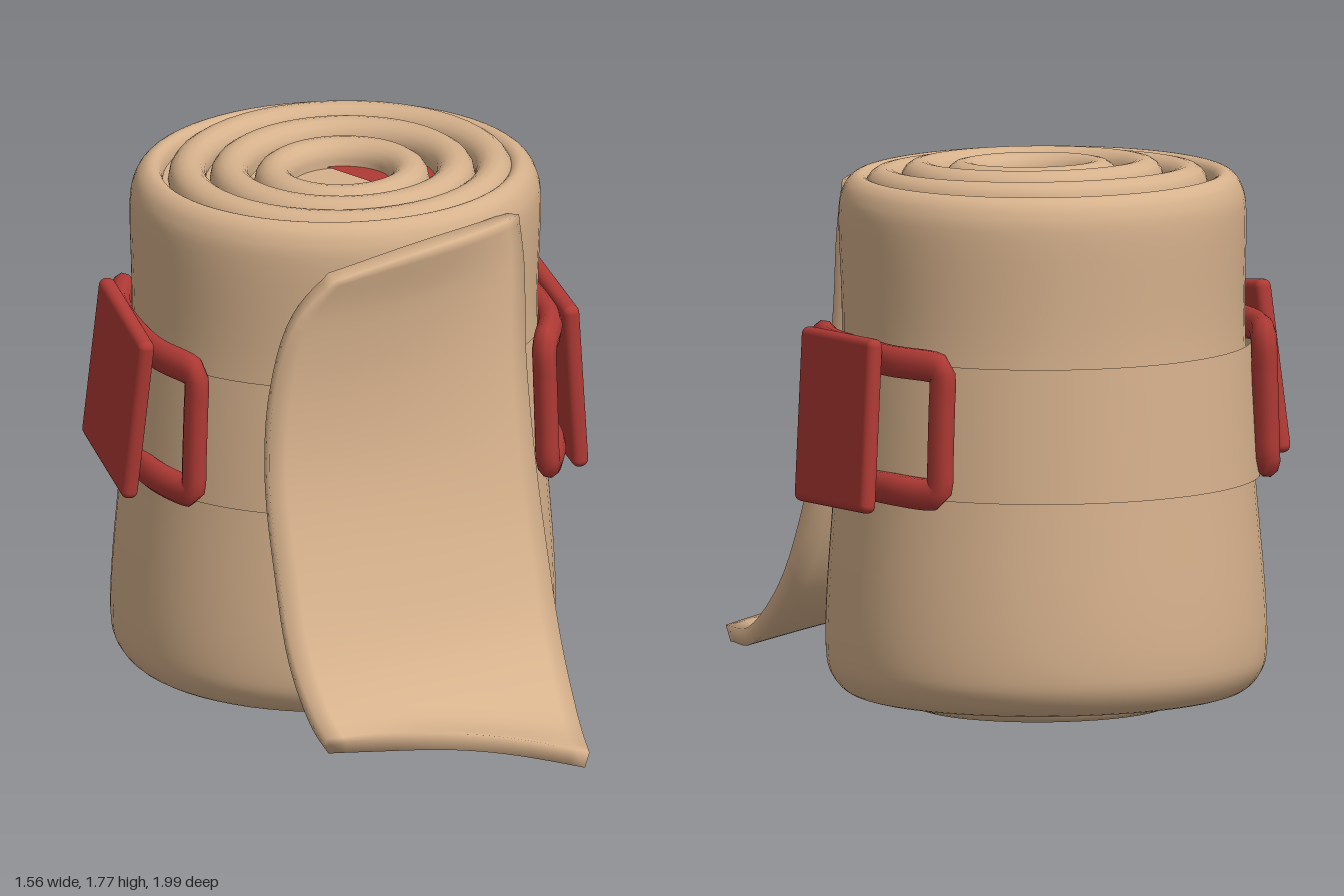
import * as THREE from 'three';
import { RoundedBoxGeometry } from 'three/addons/geometries/RoundedBoxGeometry.js';

const DEPTH = 0.94; // the roll is slightly flattened front to back
const centreZ = (y) => -0.325 + 0.02 * y;

// Skin a list of closed cross-sections, capping both ends
function loft(sections) {
  const n = sections[0].length, m = sections.length;
  const pos = [], index = [];
  sections.forEach((s) => s.forEach((p) => pos.push(p.x, p.y, p.z)));
  for (let i = 0; i < m - 1; i++) {
    for (let j = 0; j < n; j++) {
      const k = (j + 1) % n;
      const a = i * n + j, b = a + n, c = (i + 1) * n + k, d = i * n + k;
      index.push(a, b, c, a, c, d);
    }
  }
  const e = (m - 1) * n;
  for (let j = 0; j < n / 2 - 1; j++) {
    const a = j, b = j + 1, c = n - 2 - j, d = n - 1 - j;
    index.push(a, b, c, a, c, d, e + a, e + c, e + b, e + a, e + d, e + c);
  }
  const g = new THREE.BufferGeometry();
  g.setAttribute('position', new THREE.Float32BufferAttribute(pos, 3));
  g.setIndex(index);
  g.computeVertexNormals();
  return g;
}

// Flatten a turned shape and lean it onto the axis of the roll
function placeOnRoll(g, backBulge = 0) {
  g.scale(1, 1, DEPTH);
  const p = g.attributes.position;
  for (let i = 0; i < p.count; i++) {
    const z = p.getZ(i);
    p.setZ(i, z + centreZ(p.getY(i)) - backBulge * Math.max(0, -z));
  }
  return g;
}

// Outermost layer of cloth, rounded at both rims
function outerLayer() {
  const profile = [
    [0.5, 0.2], [0.51, 0.09], [0.56, 0.055], [0.64, 0.06], [0.695, 0.115], [0.714, 0.2],
    [0.708, 0.4], [0.68, 0.75], [0.657, 1.1], [0.652, 1.3], [0.66, 1.58], [0.646, 1.67],
    [0.615, 1.712], [0.58, 1.718], [0.555, 1.68], [0.55, 1.55],
  ].map(([r, y]) => new THREE.Vector2(r, y));
  return placeOnRoll(new THREE.LatheGeometry(new THREE.SplineCurve(profile).getPoints(60), 64));
}

// One inner turn of cloth: a rounded wall, wider at the foot and tilted a little at the top
function coil({ r, half, top, bottom, x, zTop, zBottom }) {
  const profile = [], arc = 8;
  for (let k = 0; k <= arc; k++) {
    const a = (Math.PI * k) / arc;
    profile.push(new THREE.Vector2(r + half * Math.cos(a), top - half * (1 - Math.sin(a))));
  }
  for (let k = 0; k <= arc; k++) {
    const a = Math.PI * (1 + k / arc);
    profile.push(new THREE.Vector2(r + half * Math.cos(a), bottom + 0.04 * (1 + Math.sin(a))));
  }
  profile.push(profile[0].clone());
  const g = new THREE.LatheGeometry(profile, 48);
  g.scale(1, 1, DEPTH);
  const p = g.attributes.position;
  for (let i = 0; i < p.count; i++) {
    const up = p.getY(i) / top, flare = 1 + 0.06 * (1 - up);
    const px = p.getX(i) * flare, pz = p.getZ(i) * flare;
    p.setXYZ(i, px + x * up, p.getY(i) + up * (0.01 * px - 0.03 * pz),
      pz + THREE.MathUtils.lerp(zBottom, zTop, up));
  }
  return g;
}

// Loose end of the cloth hanging in front and kicking outward at the bottom
function looseEnd() {
  const left = new THREE.CatmullRomCurve3([
    [-0.22, 1.6, 0.455], [-0.34, 1.46, 0.43], [-0.41, 1.22, 0.42], [-0.435, 0.95, 0.45],
    [-0.43, 0.65, 0.55], [-0.42, 0.42, 0.67], [-0.39, 0.27, 0.79], [-0.36, 0.19, 0.885],
  ].map((p) => new THREE.Vector3(...p)));
  const right = new THREE.CatmullRomCurve3([
    [0.47, 1.665, 0.19], [0.485, 1.5, 0.2], [0.48, 1.2, 0.24], [0.49, 0.9, 0.3],
    [0.505, 0.6, 0.39], [0.51, 0.33, 0.54], [0.5, 0.145, 0.78], [0.47, 0.12, 0.998],
  ].map((p) => new THREE.Vector3(...p)));
  const surface = (u, v) => {
    const a = left.getPoint(v), b = right.getPoint(v);
    const height = v < 0.5 ? 0.035 : 0.05;
    const bump = height * Math.sin(Math.PI * u) * (2 * v - 1) ** 4;
    const w = Math.max(0, u) ** (2.8 - 1.7 * v);
    return new THREE.Vector3(
      THREE.MathUtils.lerp(a.x, b.x, u),
      THREE.MathUtils.lerp(a.y, b.y, u) + bump,
      THREE.MathUtils.lerp(a.z, b.z, w));
  };
  const rows = 36, cols = 16, thick = 0.055, sections = [];
  for (let i = 0; i <= rows; i++) {
    const v = i / rows, front = [], back = [];
    for (let j = 0; j <= cols; j++) {
      const u = j / cols, p = surface(u, v);
      const v0 = Math.max(0, v - 0.01), v1 = Math.min(1, v + 0.01);
      const du = surface(u + 0.01, v).sub(surface(u - 0.01, v));
      const dv = surface(u, v1).sub(surface(u, v0));
      const normal = dv.cross(du).normalize();
      front.push(p);
      back.unshift(p.clone().addScaledVector(normal, -thick));
    }
    sections.push([...front, ...back]);
  }
  return loft(sections);
}

// Buckle frame: a flattened rounded bar bent around the roll, facing +x
function buckleFrame() {
  const w = 0.413, h = 0.205, c = 0.03, flat = 0.75, points = [];
  const at = (y, z) => new THREE.Vector3((-0.6 / flat) * z * z, y, z);
  for (const [sy, sz] of [[1, 1], [1, -1], [-1, -1], [-1, 1]]) {
    const run = [
      at(sy * h, sz * w * 0.5), at(sy * h, sz * (w - c)),
      at(sy * (h - c * 0.25), sz * (w - c * 0.25)),
      at(sy * (h - c), sz * w), at(sy * h * 0.4, sz * w),
    ];
    points.push(...(sy * sz > 0 ? run.reverse() : run));
  }
  const g = new THREE.TubeGeometry(new THREE.CatmullRomCurve3(points, true), 96, 0.052, 10, true);
  return g.scale(flat, 1, 1);
}

export function createModel() {
  const cloth = new THREE.MeshStandardMaterial({ color: 0xd6b18c });
  cloth.name = 'tan cloth';
  const clothSheet = new THREE.MeshStandardMaterial({ color: 0xd6b18c, side: THREE.DoubleSide });
  clothSheet.name = 'tan cloth sheet';
  const red = new THREE.MeshStandardMaterial({ color: 0xb03a35 });
  red.name = 'red clasp';

  const model = new THREE.Group();
  model.name = 'bandageRoll';
  const add = (name, geometry, material, parent = model) => {
    const mesh = new THREE.Mesh(geometry, material);
    mesh.name = name;
    parent.add(mesh);
    return mesh;
  };

  add('outerLayer', outerLayer(), cloth);
  add('looseEnd', looseEnd(), cloth);

  // Inner turns, from the core outward
  [
    { r: 0.22, half: 0.06, top: 1.75, bottom: 0.02, x: 0, zTop: -0.215, zBottom: -0.3 },
    { r: 0.362, half: 0.062, top: 1.757, bottom: 0, x: 0.008, zTop: -0.235, zBottom: -0.3 },
    { r: 0.492, half: 0.06, top: 1.742, bottom: 0.04, x: 0.015, zTop: -0.28, zBottom: -0.31 },
  ].forEach((spec, i) => add(`innerCoil${i + 1}`, coil(spec), cloth));

  // Strap around the middle, standing slightly off at the back
  const strap = new THREE.CylinderGeometry(0.667, 0.692, 0.43, 64, 1, true);
  strap.translate(0, 0.965, 0);
  add('strap', placeOnRoll(strap, 0.045), clothSheet);

  // Floors closing the coils from above and below
  for (const [name, y] of [['upperFloor', 1.67], ['lowerFloor', 0.12]]) {
    const floor = new THREE.CircleGeometry(0.56, 40);
    floor.rotateX(-Math.PI / 2);
    floor.translate(0, y, 0);
    add(name, placeOnRoll(floor), clothSheet);
  }

  // Red lining glimpsed between the coils
  const lining = new THREE.Shape([
    [-0.2, 0.61], [0, 0.36], [0.15, 0.1], [0.28, -0.07], [0.43, 0],
    [0.455, 0.12], [0.41, 0.35], [0.27, 0.52], [0.08, 0.61],
  ].map(([x, y]) => new THREE.Vector2(x, y)));
  const liningGeometry = new THREE.ShapeGeometry(lining);
  liningGeometry.rotateX(-Math.PI / 2);
  add('redLining', liningGeometry, red).position.y = 1.676;

  // Clasps on both sides
  for (const side of [1, -1]) {
    const clasp = new THREE.Group();
    clasp.name = side > 0 ? 'leftClasp' : 'rightClasp';
    clasp.position.set(side * 0.685, side > 0 ? 0.98 : 1.005, -0.303);
    if (side < 0) clasp.rotation.y = Math.PI;
    add('claspFrame', buckleFrame(), red, clasp).rotation.z = 0.03;
    const plate = add('claspPlate', new RoundedBoxGeometry(0.055, 0.56, 0.49, 3, 0.025), red, clasp);
    plate.position.set(0.048, side > 0 ? -0.01 : 0.035, side > 0 ? 0.01 : -0.05);
    plate.rotation.set(side > 0 ? 0.04 : -0.13, 0, 0.07);
    model.add(clasp);
  }
  return model;
}
